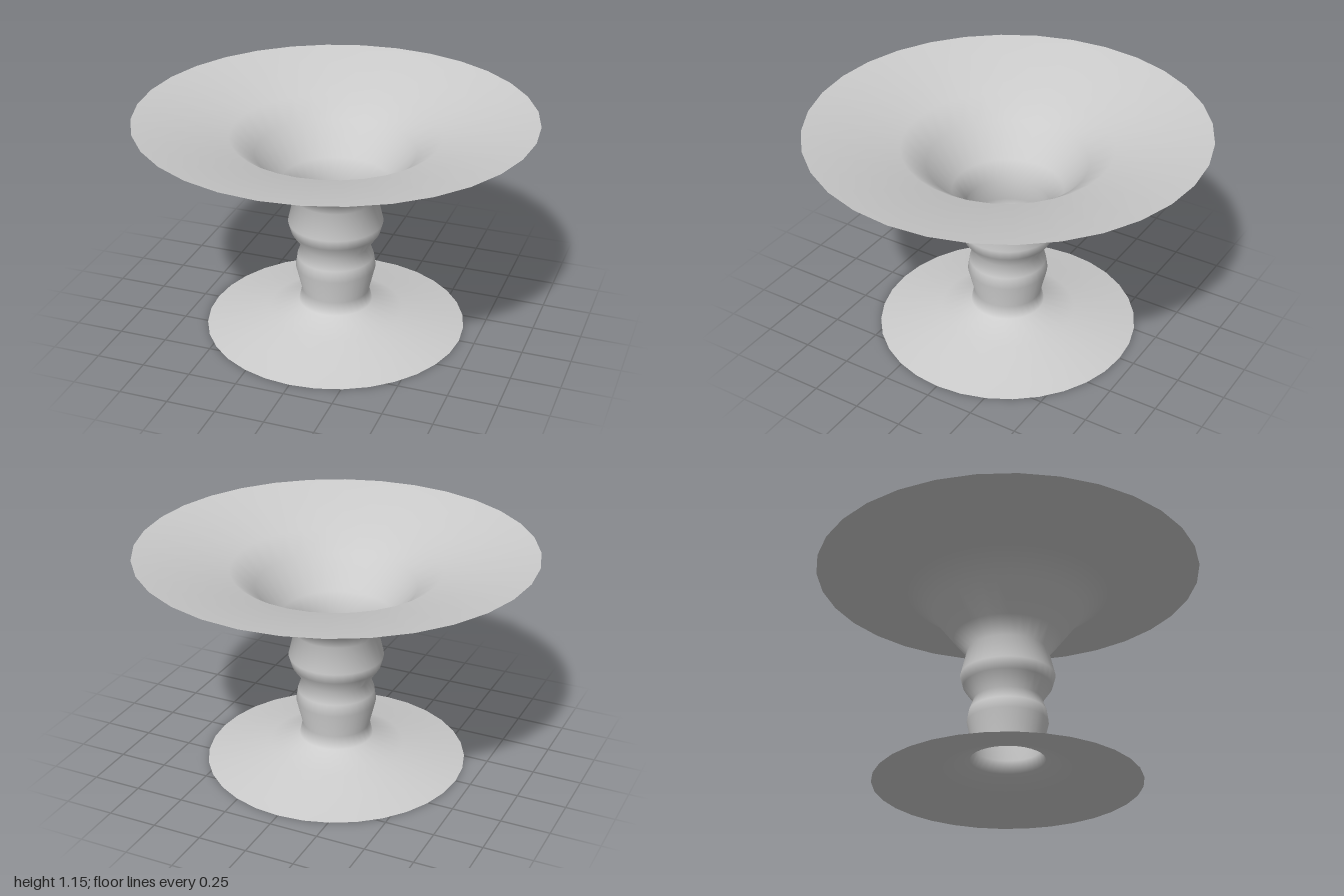
import * as THREE from 'three';

export function createModel() {
  const group = new THREE.Group();
  const material = new THREE.MeshStandardMaterial({ color: 0xcccccc, side: THREE.DoubleSide });

  // radius, height: flared foot, two-bulge stem, wide trumpet bowl
  const profile = [
    [0.67, 0], [0.35, 0.07], [0.19, 0.127],
    [0.174, 0.193], [0.206, 0.327], [0.197, 0.387], [0.174, 0.45],
    [0.227, 0.525], [0.243, 0.583], [0.211, 0.717],
    [0.28, 0.80], [0.404, 0.963], [0.527, 1.054], [1, 1.154],
  ].map(([r, y]) => new THREE.Vector2(r, y));

  // One thin shell, open at both ends
  const stand = new THREE.Mesh(new THREE.LatheGeometry(profile, 32), material);
  stand.name = 'flaredStand';
  group.add(stand);
  return group;
}
